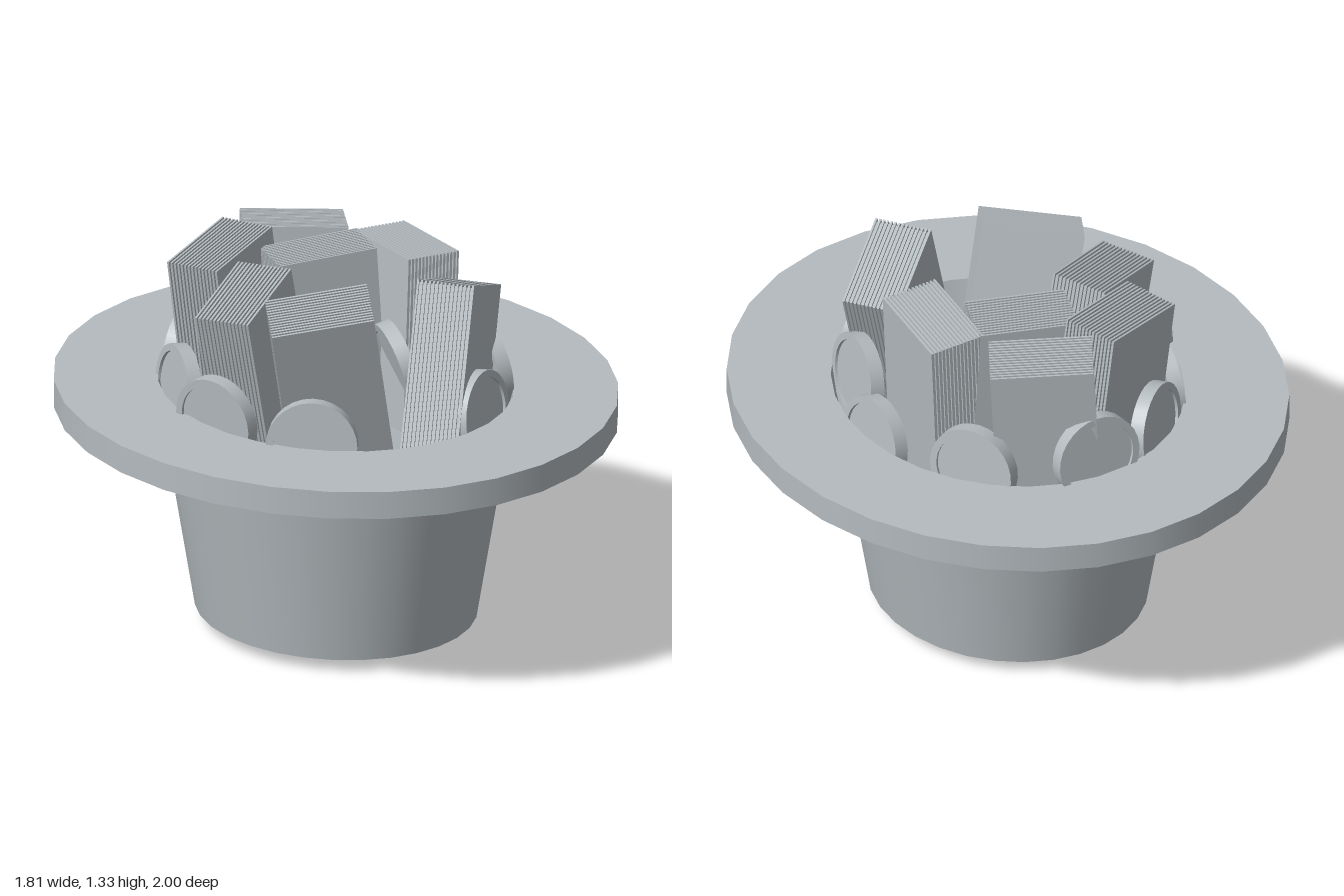
import * as THREE from 'three';
import { mergeGeometries } from 'three/addons/utils/BufferGeometryUtils.js';

const grey = new THREE.MeshStandardMaterial({ color: 0xb4bbbf });
grey.name = 'plain grey';

// Revolved shell with a hard edge at every profile point
function creasedLathe(points, segments) {
  const strips = [];
  for (let i = 0; i < points.length - 1; i++) {
    const pair = [points[i], points[i + 1]].map(([r, y]) => new THREE.Vector2(r, y));
    strips.push(new THREE.LatheGeometry(pair, segments));
  }
  return mergeGeometries(strips);
}

// Bundle of sheets: alternating long and short layers give ridged edges
function bundleGeometry(width, height, depth) {
  const layers = 29, t = depth / layers, parts = [];
  for (let i = 0; i < layers; i++) {
    const inset = i % 2 ? 0.016 : 0;
    const sheet = new THREE.BoxGeometry(width - inset, height - inset, t);
    sheet.translate(0, -height / 2, (i + 0.5) * t - depth / 2);
    parts.push(sheet);
  }
  return mergeGeometries(parts);
}

// Coin with raised rims on both faces, axis along z
function coinGeometry(radius, thickness) {
  const h = thickness / 2, inner = radius * 0.84, face = h * 0.6;
  const geo = creasedLathe([
    [0, -face], [inner, -face], [inner, -h], [radius, -h],
    [radius, h], [inner, h], [inner, face], [0, face],
  ], 28);
  return geo.rotateX(Math.PI / 2);
}

export function createModel() {
  const model = new THREE.Group();
  model.name = 'upturnedHat';

  // Oval hat, standing on its crown
  const hat = new THREE.Group();
  hat.name = 'hat';
  hat.scale.x = 0.912;
  const hatParts = {
    crown: [[0, 0], [0.42, 0.013], [0.5, 0.045], [0.6, 0.63]],
    band: [[0.59, 0.63], [0.645, 0.63], [0.668, 0.765]],
    brim: [[0.63, 0.765], [1, 0.765], [1, 0.863], [0.63, 0.863]],
    lining: [[0.63, 0.863], [0.57, 0.63], [0.47, 0.07], [0, 0.07]],
  };
  for (const [name, profile] of Object.entries(hatParts)) {
    const mesh = new THREE.Mesh(creasedLathe(profile, 30), grey);
    mesh.name = name;
    hat.add(mesh);
  }
  model.add(hat);

  // Paper bundles: top centre x, y, z, then yaw, pitch, roll
  const bundles = new THREE.Group();
  bundles.name = 'paperBundles';
  const bundleGeo = bundleGeometry(0.35, 0.62, 0.2);
  [
    [-0.165, 1.295, -0.395, 0.23, -0.05, 0.12],
    [0.2, 1.28, -0.41, -0.67, -0.08, -0.05],
    [0.08, 1.28, -0.17, -0.42, -0.03, 0.05],
    [-0.33, 1.25, -0.11, 0.35, -0.05, 0.22],
    [0.33, 1.285, 0.0, 1.36, 0.06, -0.04],
    [-0.29, 1.275, 0.22, -0.64, 0.28, 0.15],
    [0.24, 1.265, 0.35, 0.52, 0.0, -0.37],
  ].forEach(([x, y, z, yaw, pitch, roll]) => {
    const mesh = new THREE.Mesh(bundleGeo, grey);
    mesh.name = 'paperBundle';
    mesh.position.set(x, y, z);
    mesh.rotation.set(pitch, yaw, roll, 'YXZ');
    bundles.add(mesh);
  });
  model.add(bundles);

  // Coins standing around the opening: centre x, y, z, then facing yaw and lean
  const coins = new THREE.Group();
  coins.name = 'coins';
  const coinGeo = coinGeometry(0.155, 0.05);
  [
    [-0.43, 0.86, 0.33, -0.85, -0.08],
    [0.15, 0.865, 0.55, 0.33, -0.12],
    [0.4, 0.9, 0.31, 1.3, -0.12],
    [0.485, 0.785, 0.12, 1.48, -0.12],
    [0.42, 0.875, -0.32, 1.95, -0.1],
    [0.1, 0.92, -0.58, 2.97, -0.12],
    [-0.2, 0.88, -0.535, 3.6, -0.1],
    [-0.42, 0.86, -0.33, 4.3, -0.1],
    [-0.53, 0.87, -0.03, 4.85, 0.05],
    [0.19, 0.9, 0.1, 1.15, -0.25],
  ].forEach(([x, y, z, yaw, lean]) => {
    const mesh = new THREE.Mesh(coinGeo, grey);
    mesh.name = 'coin';
    mesh.position.set(x, y, z);
    mesh.rotation.set(lean, yaw, 0, 'YXZ');
    coins.add(mesh);
  });
  model.add(coins);

  return model;
}
